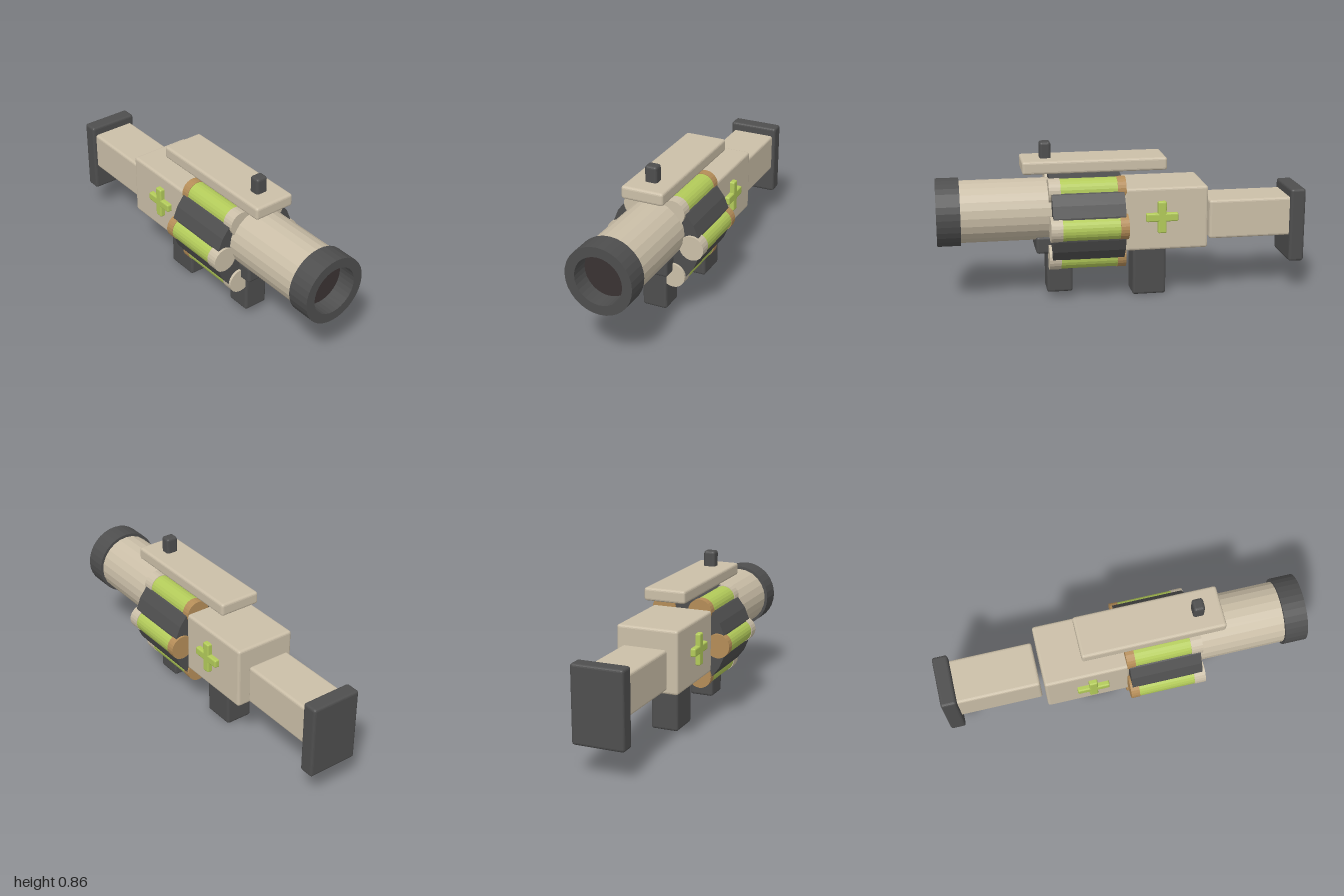
import * as THREE from 'three';
import { RoundedBoxGeometry } from 'three/addons/geometries/RoundedBoxGeometry.js';

const mat = (name, color, flatShading = false) => {
  const m = new THREE.MeshStandardMaterial({ color, flatShading });
  m.name = name;
  return m;
};

export function createModel() {
  const beige = mat('beige', 0xcbbfa8);
  const charcoal = mat('charcoal', 0x4e4e4e);
  const green = mat('green', 0xb3cb5a);
  const brass = mat('brass', 0xb58d58);
  const boreDark = mat('boreDark', 0x3a3333);
  for (const m of [beige, charcoal, green, brass]) m.flatShading = true;

  const model = new THREE.Group();
  model.name = 'launcher';

  const add = (name, geometry, material, parent = model) => {
    const mesh = new THREE.Mesh(geometry, material);
    mesh.name = name;
    parent.add(mesh);
    return mesh;
  };

  // Rounded box given by its extents on each axis
  const box = (name, material, [x0, x1], [y0, y1], [z0, z1], r = 0.014, parent = model) => {
    const mesh = add(name, new RoundedBoxGeometry(x1 - x0, y1 - y0, z1 - z0, 2, r), material, parent);
    mesh.position.set((x0 + x1) / 2, (y0 + y1) / 2, (z0 + z1) / 2);
    return mesh;
  };

  // Cylinder along z between two depths
  const rod = (name, material, x, y, r, z0, z1, sides, parent = model) => {
    const geometry = new THREE.CylinderGeometry(r, r, z1 - z0, sides).rotateX(Math.PI / 2);
    const mesh = add(name, geometry, material, parent);
    mesh.position.set(x, y, (z0 + z1) / 2);
    return mesh;
  };

  // Barrel with a hollow muzzle ring
  const barrelY = 0.495;
  rod('barrel', beige, 0, barrelY, 0.167, 0.1, 0.885, 24);
  const ring = [[0.13, 0.875], [0.183, 0.875], [0.183, 1], [0.13, 1], [0.13, 0.875]];
  const muzzle = add('muzzleRing',
    new THREE.LatheGeometry(ring.map(([r, z]) => new THREE.Vector2(r, z)), 32).rotateX(Math.PI / 2),
    charcoal);
  muzzle.position.y = barrelY;
  const bore = add('bore', new THREE.CircleGeometry(0.131, 32), boreDark);
  bore.position.set(0, barrelY, 0.9);

  // Drum with six canisters around it
  const drumY = 0.432;
  rod('drum', charcoal, 0, drumY, 0.25, 0.012, 0.398, 24);
  for (let i = 0; i < 6; i++) {
    const a = (i * Math.PI) / 3;
    const x = 0.21 * Math.cos(a);
    const y = drumY + 0.21 * Math.sin(a);
    const canister = new THREE.Group();
    canister.name = 'canister' + (i + 1);
    model.add(canister);
    rod('canisterTip', beige, x, y, 0.068, 0.35, 0.412, 24, canister);
    rod('canisterBody', green, x, y, 0.065, 0.044, 0.352, 24, canister);
    rod('canisterBase', brass, x, y, 0.068, 0, 0.046, 24, canister);
  }

  // Receiver, stock and butt plate
  box('receiver', beige, [-0.172, 0.172], [0.282, 0.625], [-0.445, 0.012]);
  box('stock', beige, [-0.124, 0.124], [0.314, 0.53], [-0.93, -0.465]);
  box('buttPlate', charcoal, [-0.142, 0.142], [0.167, 0.578], [-1, -0.915]);

  // Grips and the block under the barrel
  box('rearGrip', charcoal, [-0.078, 0.078], [0, 0.32], [-0.235, -0.05]);
  box('frontGrip', charcoal, [-0.07, 0.07], [0.037, 0.32], [0.28, 0.42]);
  box('underBarrelBlock', charcoal, [-0.103, 0.103], [0.267, 0.362], [0.28, 0.478]);

  // Top rail and sight post
  box('topRail', beige, [-0.117, 0.117], [0.707, 0.777], [-0.23, 0.545]);
  box('sightPost', charcoal, [-0.034, 0.034], [0.74, 0.864], [0.385, 0.445]);

  // Raised cross on each side of the receiver
  for (const [side, s] of [['left', 1], ['right', -1]]) {
    const cross = new THREE.Group();
    cross.name = side + 'Cross';
    cross.position.set(s * 0.18, 0.467, -0.19);
    model.add(cross);
    box('crossBar', green, [-0.018, 0.018], [-0.023, 0.023], [-0.087, 0.087], 0.008, cross);
    box('crossUpright', green, [-0.018, 0.018], [-0.087, 0.087], [-0.023, 0.023], 0.008, cross);
  }

  return model;
}
